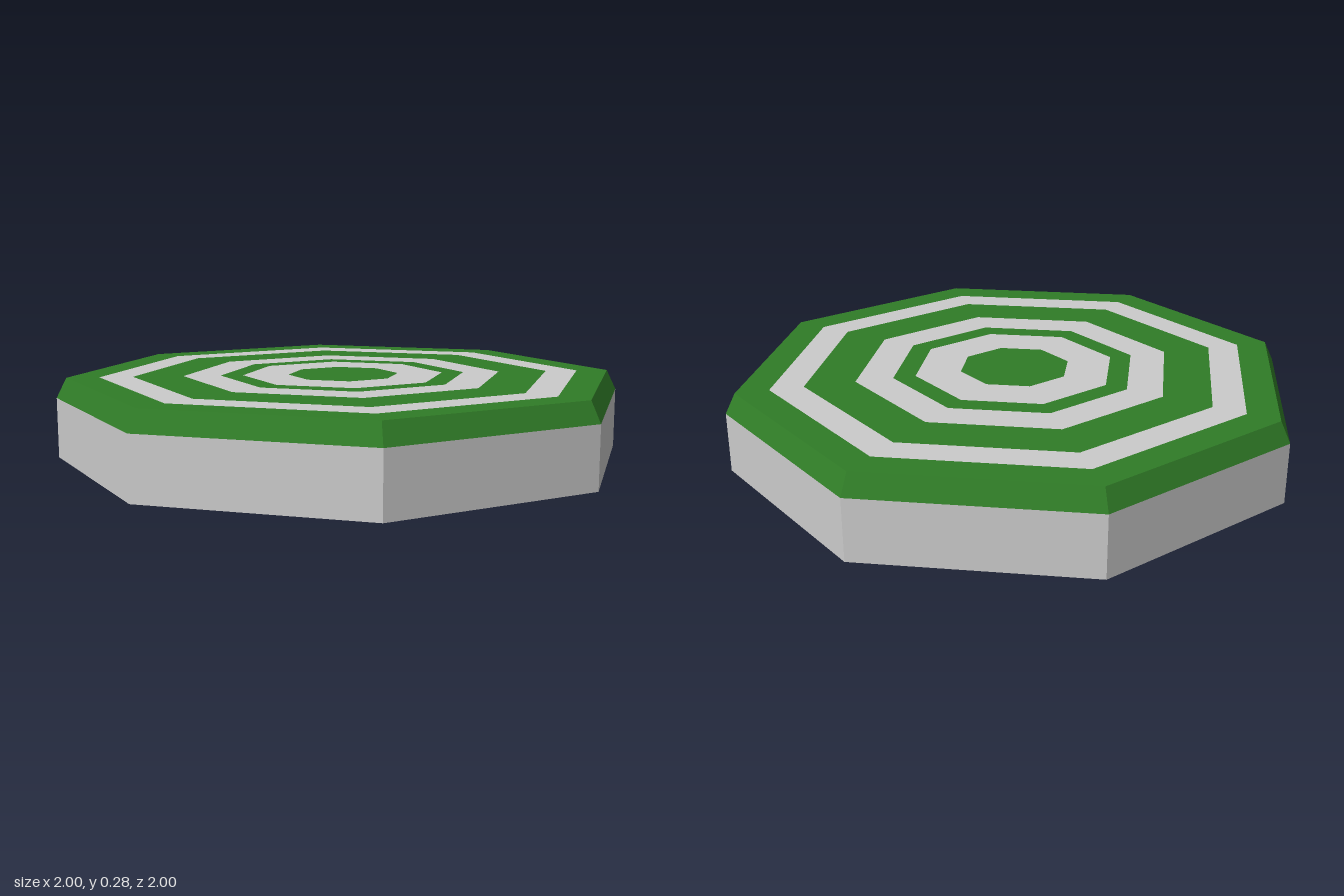
import * as THREE from 'three';

const SIDES = 8;
const BASE_TOP = 0.21;
const TOP = 0.28;

export function createModel() {
  const group = new THREE.Group();
  const grey = new THREE.MeshStandardMaterial({ color: 0xcccccc, flatShading: true });
  const green = new THREE.MeshStandardMaterial({ color: 0x307c27, flatShading: true });

  const add = (name, geometry, material, y) => {
    const mesh = new THREE.Mesh(geometry, material);
    mesh.name = name;
    mesh.position.y = y;
    group.add(mesh);
  };

  // Octagonal base wall, corners on the x and z axes
  add('baseWall', new THREE.CylinderGeometry(1, 1, BASE_TOP, SIDES, 1, true), grey, BASE_TOP / 2);
  add('baseBottom', new THREE.CircleGeometry(1, SIDES).rotateX(Math.PI / 2), grey, 0);

  // Bevelled green rim
  add('bevelledRim', new THREE.CylinderGeometry(0.965, 1, TOP - BASE_TOP, SIDES, 1, true),
    green, (TOP + BASE_TOP) / 2);

  // Flat top: centre disc, then alternating rings sharing their edges
  const radii = [0.195, 0.355, 0.433, 0.563, 0.737, 0.852, 0.965];
  add('centreDisc', new THREE.CircleGeometry(radii[0], SIDES).rotateX(-Math.PI / 2), green, TOP);
  for (let i = 1; i < radii.length; i++) {
    const ring = new THREE.RingGeometry(radii[i - 1], radii[i], SIDES).rotateX(-Math.PI / 2);
    add(`topRing${i}`, ring, i % 2 ? grey : green, TOP);
  }

  return group;
}
